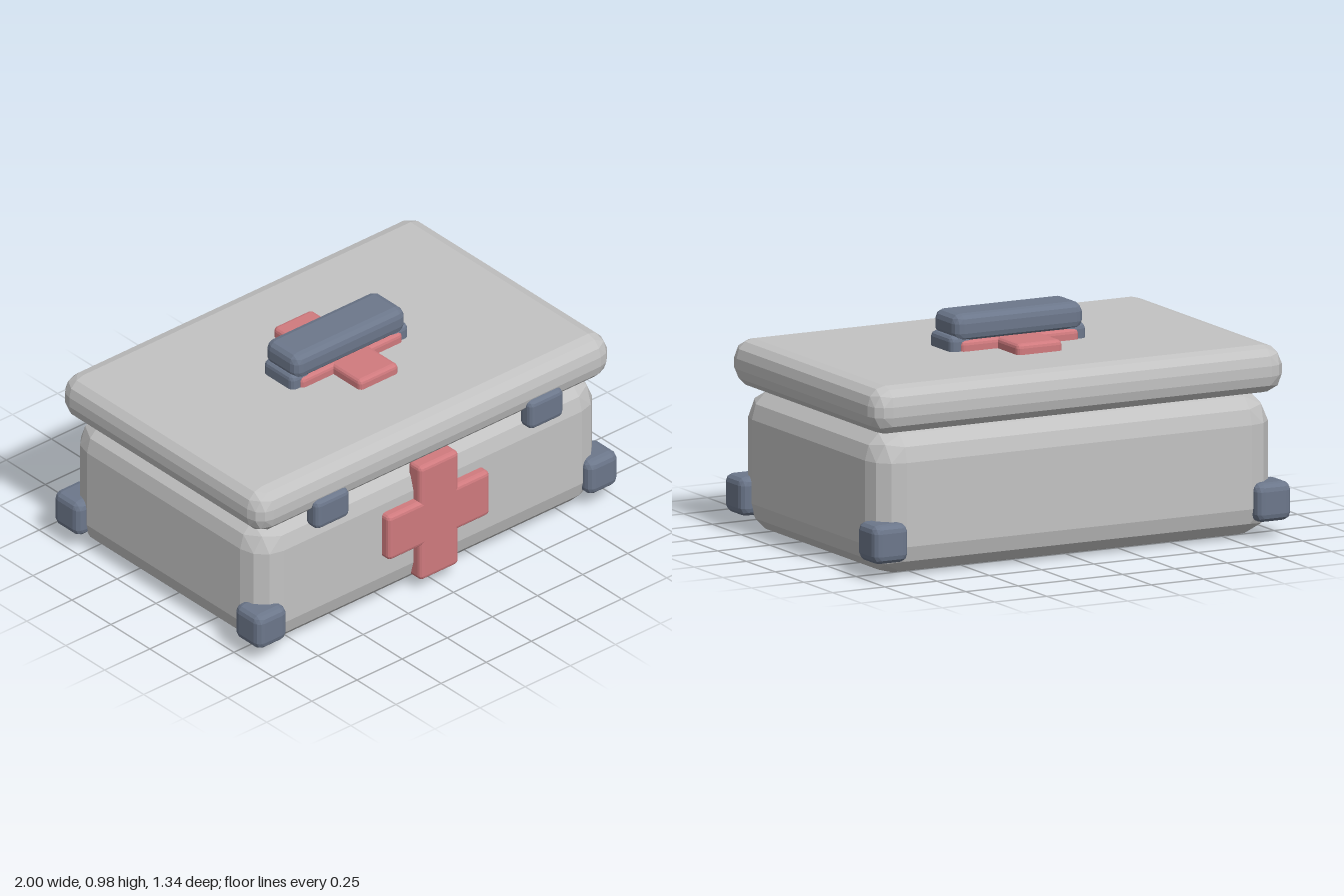
import * as THREE from 'three';
import { ConvexGeometry } from 'three/addons/geometries/ConvexGeometry.js';

// Box from corner (x0,y0,z0) to (x1,y1,z1), edges rounded by r in three flat facets
function bevelBox([x0, y0, z0], [x1, y1, z1], r) {
  const dirs = [];
  for (let i = 0; i < 3; i++) {
    const a = (i * Math.PI) / 6, c = Math.cos(a), s = Math.sin(a);
    dirs.push([c, s, 0], [0, c, s], [s, 0, c]);
  }
  const d = 1 / Math.sqrt(3);
  dirs.push([d, d, d]);
  const points = [];
  for (const sx of [-1, 1]) for (const sy of [-1, 1]) for (const sz of [-1, 1]) {
    for (const [dx, dy, dz] of dirs) {
      points.push(new THREE.Vector3(
        (x0 + x1) / 2 + sx * ((x1 - x0) / 2 - r + r * dx),
        (y0 + y1) / 2 + sy * ((y1 - y0) / 2 - r + r * dy),
        (z0 + z1) / 2 + sz * ((z1 - z0) / 2 - r + r * dz)));
    }
  }
  return new ConvexGeometry(points);
}

function flatColor(name, color) {
  const m = new THREE.MeshStandardMaterial({ color });
  m.name = name;
  return m;
}

export function createModel() {
  const grey = flatColor('light grey', 0xc2c2c2);
  const red = flatColor('soft red', 0xd07a7e);
  const slate = flatColor('slate blue', 0x6c778b);

  const kit = new THREE.Group();
  kit.name = 'firstAidBox';
  const add = (name, mat, min, max, r) => {
    const mesh = new THREE.Mesh(bevelBox(min, max, r), mat);
    mesh.name = name;
    kit.add(mesh);
  };

  // Case
  add('body', grey, [-0.955, 0, -0.625], [0.955, 0.62, 0.618], 0.13);
  add('lid', grey, [-0.985, 0.615, -0.654], [0.985, 0.82, 0.647], 0.08);

  // Crosses on the front and on the lid
  add('frontCrossUpright', red, [-0.108, 0.055, 0.58], [0.108, 0.62, 0.665], 0.02);
  add('frontCrossBar', red, [-0.283, 0.228, 0.58], [0.28, 0.448, 0.665], 0.02);
  add('lidCrossLong', red, [-0.108, 0.78, -0.287], [0.108, 0.866, 0.278], 0.02);
  add('lidCrossBar', red, [-0.283, 0.78, -0.112], [0.28, 0.866, 0.106], 0.02);

  // Handle
  add('handleGrip', slate, [-0.312, 0.855, -0.108], [0.306, 0.976, 0.102], 0.04);

  // Mirrored fittings
  for (const s of [-1, 1]) {
    const side = s > 0 ? 'left' : 'right';
    const span = (a, b) => (s > 0 ? [a, b] : [-b, -a]);
    const [p0, p1] = span(0.22, 0.325);
    add(side + 'HandlePost', slate, [p0, 0.78, -0.1], [p1, 0.886, 0.093], 0.025);
    const [l0, l1] = span(0.498, 0.687);
    add(side + 'Latch', slate, [l0, 0.55, 0.59], [l1, 0.69, 0.669], 0.025);
    const [c0, c1] = span(0.833, 1);
    add(side + 'FrontCorner', slate, [c0, 0.073, 0.493], [c1, 0.24, 0.66], 0.035);
    add(side + 'BackCorner', slate, [c0, 0.073, -0.667], [c1, 0.24, -0.5], 0.035);
  }
  return kit;
}
